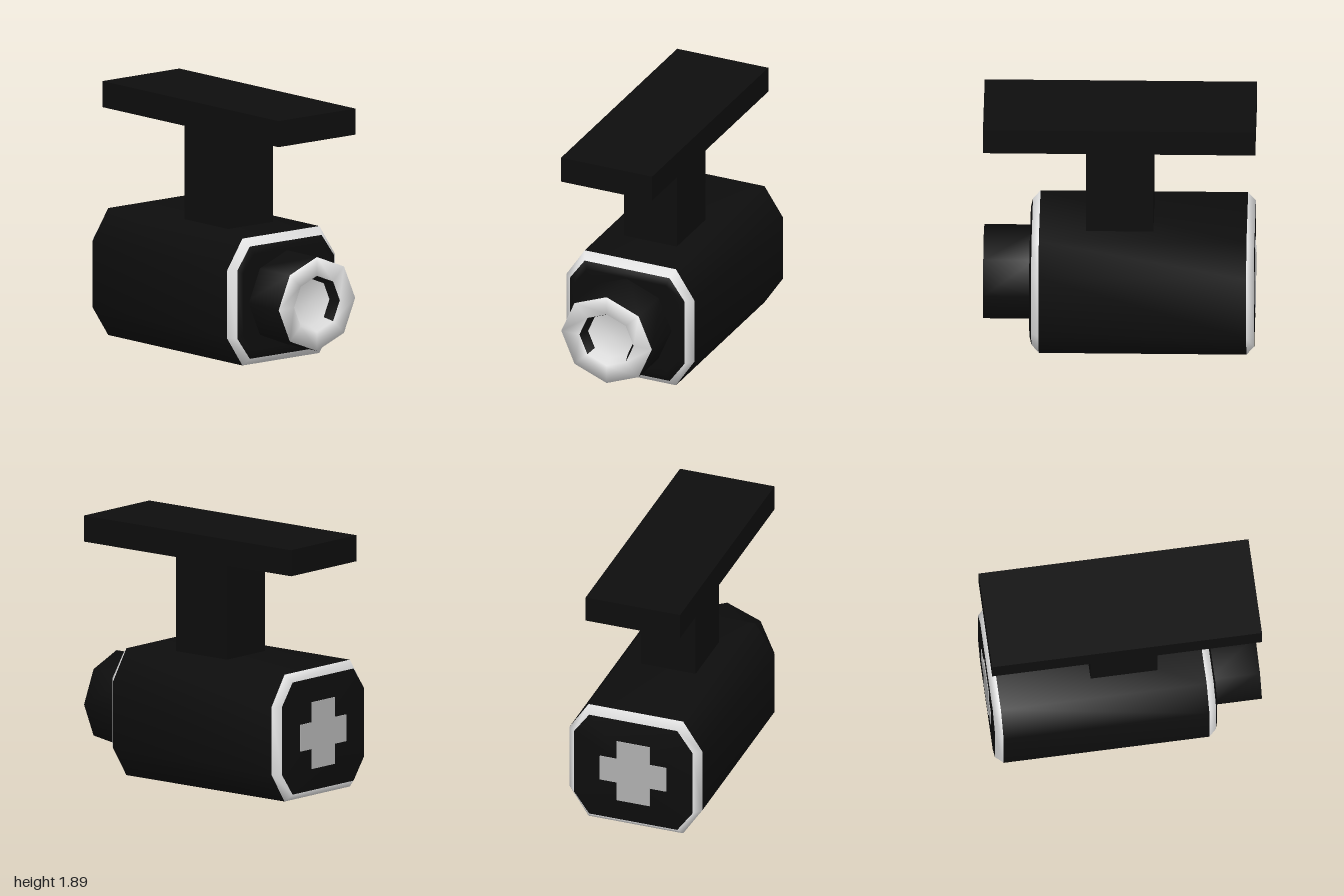
import * as THREE from 'three';

const flat = (name, color) => {
  const m = new THREE.MeshStandardMaterial({ color });
  m.name = name;
  return m;
};

// Chamfered rectangle, counter-clockwise seen from the front
// a, b: half width and height; c, d: half lengths of the flats
const octagon = (a, b, c, d) =>
  [[a, -d], [a, d], [c, b], [-c, b], [-a, d], [-a, -d], [-c, -b], [c, -b]];

// Joins rings from back to front; each band has its own material index
function loft(rings, bands) {
  const positions = [], index = [], geo = new THREE.BufferGeometry();
  for (const { z, ring } of rings) for (const [x, y] of ring) positions.push(x, y, z);
  bands.forEach((material, r) => {
    geo.addGroup(index.length, 48, material);
    for (let k = 0; k < 8; k++) {
      const p = r * 8 + k, q = r * 8 + (k + 1) % 8;
      index.push(p, q, q + 8, p, q + 8, p + 8);
    }
  });
  geo.setAttribute('position', new THREE.Float32BufferAttribute(positions, 3));
  geo.setIndex(index);
  geo.computeVertexNormals();
  return geo;
}

export function createModel() {
  const group = new THREE.Group();
  const black = flat('black', 0x0d0d0d);
  const white = flat('white', 0xe8e8e8);
  const grey = flat('grey', 0xb0b0b0);
  const MID = 0.475;

  const add = (name, geo, material, x, y, z) => {
    const mesh = new THREE.Mesh(geo, material);
    mesh.name = name;
    mesh.position.set(x, y, z);
    group.add(mesh);
    return mesh;
  };

  // Housing with white bevels at both ends
  const outer = octagon(0.52, 0.475, 0.37, 0.25);
  const inner = octagon(0.465, 0.42, 0.345, 0.255);
  const face = octagon(0.42, 0.36, 0.32, 0.23);
  const centre = octagon(0, 0, 0, 0);
  add('housing', loft([
    { z: -0.992, ring: centre },
    { z: -0.992, ring: inner },
    { z: -0.935, ring: outer },
    { z: 0.59, ring: outer },
    { z: 0.645, ring: inner },
    { z: 0.66, ring: face },
    { z: 0.66, ring: centre },
  ], [0, 1, 0, 1, 0, 0]), [black, white], 0, MID, 0);

  // Eight-sided barrel with a white rim and a shallow recessed lens
  const profile = [[0.368, 0.62], [0.368, 1], [0.22, 1], [0.188, 0.92], [0, 0.92]];
  const barrel = new THREE.LatheGeometry(profile.map(([r, h]) => new THREE.Vector2(r, h)), 8);
  const bandColour = [0, 1, 0, 1];
  let start = 0;
  for (let side = 0; side < 8; side++) {
    bandColour.forEach((colour, band) => {
      // The last band ends on the axis and needs one triangle per side
      const count = 6;
      const lowerWall = band === 2 && (side === 0 || side === 7);
      barrel.addGroup(start, count, lowerWall ? 1 : colour);
      start += count;
    });
  }
  barrel.rotateX(Math.PI / 2);
  barrel.scale(1, 0.955, 1);
  add('barrel', barrel, [black, white], 0, MID, 0);

  // Stem and mounting plate
  add('stem', new THREE.BoxGeometry(0.43, 0.78, 0.495), black, 0, 1.32, -0.002);
  add('mountingPlate', new THREE.BoxGeometry(0.74, 0.195, 2), black, 0, 1.793, 0);

  // Cross painted on the back
  const w = 0.13, h = 0.1, W = 0.26, H = 0.25;
  const cross = new THREE.Shape([
    [w, -H], [w, -h], [W, -h], [W, h], [w, h], [w, H],
    [-w, H], [-w, h], [-W, h], [-W, -h], [-w, -h], [-w, -H],
  ].map(([x, y]) => new THREE.Vector2(x, y)));
  add('backCross', new THREE.ExtrudeGeometry(cross, { depth: 0.007, bevelEnabled: false }),
    grey, 0, MID - 0.01, -0.998);

  return group;
}
